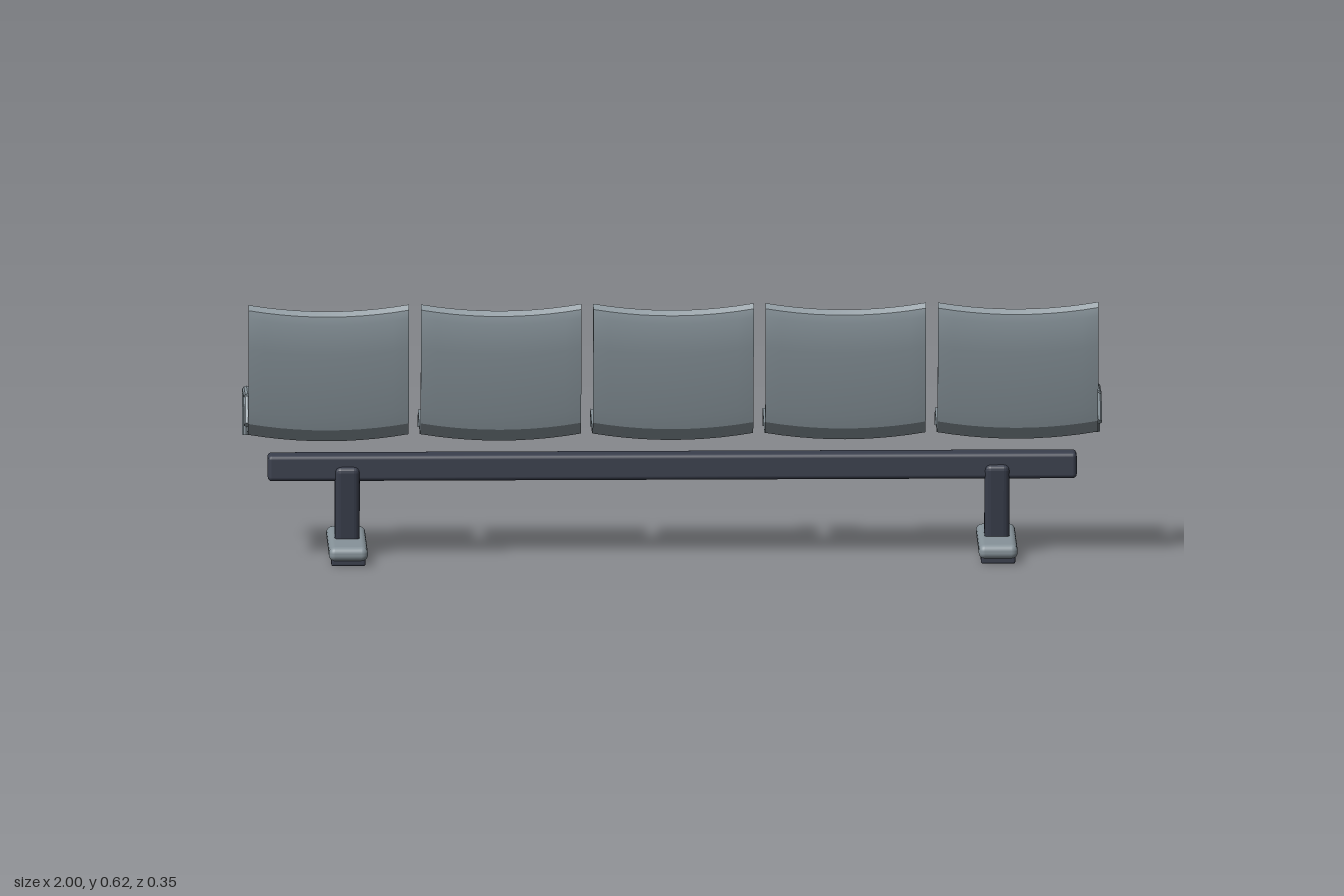
import * as THREE from 'three';
import { toCreasedNormals } from 'three/addons/utils/BufferGeometryUtils.js';
import { RoundedBoxGeometry } from 'three/addons/geometries/RoundedBoxGeometry.js';

const SEAT_WIDTH = 0.374, SPACING = 0.4015, SAG = 0.016, THICKNESS = 0.008;

// Sitting surface at the seat's side edge, as [z, y] from head lip to knee lip
const PROFILE = [
  [0.158, 0.615], [0.167, 0.606], [0.169, 0.59], [0.164, 0.52], [0.134, 0.37], [0.125, 0.338],
  [0.10, 0.311], [0.03, 0.3], [-0.08, 0.315], [-0.135, 0.321], [-0.166, 0.302], [-0.175, 0.276],
];

// Depth of the backrest surface at height y
function backZ(y) {
  for (let i = 2; i < 5; i++) {
    const [z0, y0] = PROFILE[i], [z1, y1] = PROFILE[i + 1];
    if (y <= y0 && y >= y1) return z0 + (z1 - z0) * (y0 - y) / (y0 - y1);
  }
  return PROFILE[2][0];
}

// Thin shell: profile extruded across the width, then dipped in the middle
function seatShellGeometry() {
  const pts = PROFILE.map(([z, y]) => new THREE.Vector2(z, y));
  const under = pts.map((p, i) => {
    const a = pts[Math.max(i - 1, 0)], b = pts[Math.min(i + 1, pts.length - 1)];
    const t = b.clone().sub(a).normalize();
    return new THREE.Vector2(p.x - t.y * THICKNESS, p.y + t.x * THICKNESS);
  });
  const loop = [...pts, ...under.reverse()].map((p) => new THREE.Vector2(-p.x, p.y));
  const geo = new THREE.ExtrudeGeometry(new THREE.Shape(loop), { depth: SEAT_WIDTH, steps: 10, bevelEnabled: false });
  geo.translate(0, 0, -SEAT_WIDTH / 2).rotateY(Math.PI / 2);
  const pos = geo.attributes.position;
  for (let i = 0; i < pos.count; i++) {
    const u = pos.getX(i) / (SEAT_WIDTH / 2);
    pos.setY(i, pos.getY(i) - SAG * (1 - u * u));
  }
  return toCreasedNormals(geo, 0.35);
}

function add(parent, name, geometry, material, x = 0, y = 0, z = 0) {
  const mesh = new THREE.Mesh(geometry, material);
  mesh.name = name;
  mesh.position.set(x, y, z);
  parent.add(mesh);
  return mesh;
}

// Straight tube between two [z, y] points
function addRod(parent, name, a, b, radius, material) {
  const from = new THREE.Vector3(0, a[1], a[0]), to = new THREE.Vector3(0, b[1], b[0]);
  const dir = to.clone().sub(from);
  const geo = toCreasedNormals(new THREE.CylinderGeometry(radius, radius, dir.length(), 10), 0.8);
  const rod = add(parent, name, geo, material);
  rod.position.copy(from).add(to).multiplyScalar(0.5);
  rod.quaternion.setFromUnitVectors(new THREE.Vector3(0, 1, 0), dir.normalize());
}

export function createModel() {
  const model = new THREE.Group();
  model.name = 'bench';
  const grey = new THREE.MeshStandardMaterial({ color: 0x87939a });
  grey.name = 'grey metal';
  const dark = new THREE.MeshStandardMaterial({ color: 0x3a3f4d });
  dark.name = 'dark frame';
  const slotGrey = new THREE.MeshStandardMaterial({ color: 0x4a5156 });
  slotGrey.name = 'slot grey';

  // Five seats with three dark slots on each backrest
  const shell = seatShellGeometry();
  const slot = new RoundedBoxGeometry(0.27, 0.008, 0.008, 2, 0.003);
  for (let i = -2; i <= 2; i++) {
    const seat = new THREE.Group();
    seat.name = 'seat';
    seat.position.x = i * SPACING;
    add(seat, 'seatShell', shell, grey);
    for (const y of [0.495, 0.446, 0.397]) {
      add(seat, 'backSlot', slot, slotGrey, 0, y, backZ(y + SAG * 0.7) + 0.0005);
    }
    model.add(seat);
  }

  // Armrests made of four straight tubes
  const armPath = [[0.122, 0.33], [0.076, 0.386], [-0.068, 0.38], [-0.095, 0.338], [-0.098, 0.27]];
  for (const x of [-0.99, -0.4, 0.4, 0.99]) {
    const arm = new THREE.Group();
    arm.name = 'armrest';
    arm.position.x = x;
    for (let i = 0; i < armPath.length - 1; i++) {
      addRod(arm, 'armTube', armPath[i], armPath[i + 1], 0.01, grey);
    }
    model.add(arm);
  }

  // Long support beam
  add(model, 'beam', new RoundedBoxGeometry(1.885, 0.061, 0.061, 3, 0.01), dark, 0, 0.213, 0.018);

  // Post leaning back as it rises
  const post = new RoundedBoxGeometry(0.058, 0.19, 0.071, 2, 0.014);
  post.applyMatrix4(new THREE.Matrix4().set(1, 0, 0, 0, 0, 1, 0, 0, 0, 0.115, 1, 0, 0, 0, 0, 1));
  post.computeVertexNormals();
  const foot = new RoundedBoxGeometry(0.091, 0.034, 0.312, 4, 0.015);
  const pad = new RoundedBoxGeometry(0.08, 0.018, 0.054, 2, 0.005);
  for (const side of [-1, 1]) {
    const leg = new THREE.Group();
    leg.name = 'leg';
    leg.position.x = side * 0.757;
    add(leg, 'post', post, dark, 0, 0.122, 0.014);
    add(leg, 'foot', foot, grey, 0, 0.028, 0.004);
    for (const z of [0.126, -0.118]) add(leg, 'footPad', pad, dark, 0, 0.009, z);
    model.add(leg);
  }
  return model;
}
